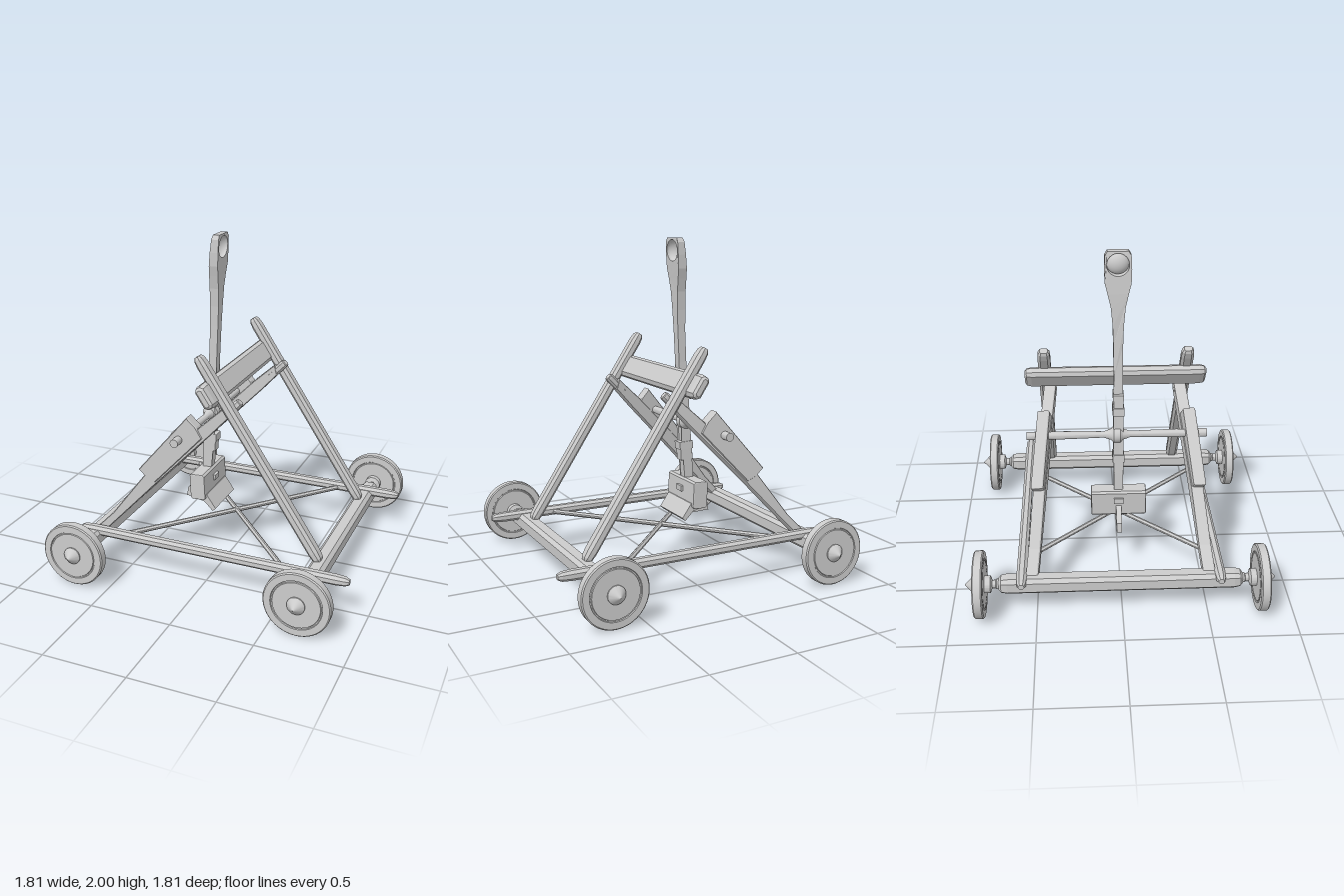
import * as THREE from 'three';
import { toCreasedNormals } from 'three/addons/utils/BufferGeometryUtils.js';

const mat = new THREE.MeshStandardMaterial({ color: 0xcccccc });
const V = (x, y, z) => new THREE.Vector3(x, y, z);

export function createModel() {
  const root = new THREE.Group();
  const frame = new THREE.Group();
  frame.name = 'frame';
  frame.position.z = -0.008;
  root.add(frame);

  const add = (parent, name, geometry, x = 0, y = 0, z = 0) => {
    const m = new THREE.Mesh(geometry, mat);
    m.name = name;
    m.position.set(x, y, z);
    parent.add(m);
    return m;
  };

  const polygon = (pts) => new THREE.Shape(pts.map(([x, y]) => new THREE.Vector2(x, y)));

  // Timber from a to b: chamfered section (w across, h deep) with tapered ends
  const beam = (parent, name, a, b, w, h, taper = 0.04, inset = 0.015, across = V(0, 0, 1)) => {
    const dir = b.clone().sub(a);
    const length = dir.length();
    dir.normalize();
    const c = 0.008, p = w / 2 - inset, q = h / 2 - inset;
    const section = polygon([[-p + c, -q], [p - c, -q], [p, -q + c], [p, q - c],
      [p - c, q], [-p + c, q], [-p, q - c], [-p, -q + c]]);
    const g = new THREE.ExtrudeGeometry(section, {
      depth: length - 2 * taper, bevelEnabled: true, bevelThickness: taper, bevelSize: inset, bevelSegments: 2,
    });
    g.translate(0, 0, taper);
    const up = dir.clone().cross(across).normalize();
    const side = up.clone().cross(dir);
    g.applyMatrix4(new THREE.Matrix4().makeBasis(side, up, dir).setPosition(a));
    return add(parent, name, g);
  };

  const lathe = (pts, segments = 40) =>
    toCreasedNormals(new THREE.LatheGeometry(pts.map(([r, y]) => new THREE.Vector2(r, y)), segments), 0.5);

  // Axle beams
  for (const x of [-0.71, 0.68]) {
    beam(frame, 'axleBeam', V(x, 0.2, -0.71), V(x, 0.2, 0.71), 0.1, 0.1, 0.05, 0.022, V(1, 0, 0));
  }

  // Wheels with grooved faces, conical caps and stepped hubs
  const wheelProfile = [
    [0, 0.69], [0.03, 0.69], [0.03, 0.72], [0.024, 0.725], [0.024, 0.745], [0.05, 0.755], [0.05, 0.79],
    [0.138, 0.79], [0.141, 0.796], [0.147, 0.796], [0.15, 0.79], [0.188, 0.79], [0.195, 0.797],
    [0.195, 0.84], [0.188, 0.847], [0.15, 0.847], [0.147, 0.841], [0.141, 0.841], [0.138, 0.847],
    [0.052, 0.847], [0.052, 0.854], [0, 0.905],
  ];
  const wheelGeometry = lathe(wheelProfile, 48);
  for (const x of [-0.71, 0.68]) {
    for (const s of [-1, 1]) {
      add(frame, 'wheel', wheelGeometry, x, 0.2, 0).rotation.x = s * Math.PI / 2;
    }
  }

  // Long side rails, leaning A-frame posts and struts
  for (const s of [-1, 1]) {
    beam(frame, 'sideRail', V(-0.8, 0.24, s * 0.575), V(0.9, 0.24, s * 0.575), 0.06, 0.058, 0.08, 0.014);
    beam(frame, 'post', V(0.675, 0.245, s * 0.425), V(-0.072, 1.385, s * 0.425), 0.075, 0.062, 0.06, 0.014);

    // Struts lean inward as they rise
    const leaning = (name, pts, depth, out) => {
      const g = new THREE.ExtrudeGeometry(polygon(pts), {
        depth: depth - 0.016, bevelEnabled: true, bevelThickness: 0.008, bevelSize: 0.005,
        bevelOffset: -0.005, bevelSegments: 1,
      });
      g.translate(0, 0, -depth / 2 + 0.008);
      const p = g.attributes.position;
      for (let i = 0; i < p.count; i++) {
        p.setZ(i, p.getZ(i) + s * (0.41 - 0.15 * p.getX(i) + out));
      }
      g.computeVertexNormals();
      add(frame, name, g);
    };
    leaning('strut', [[-0.72, 0.235], [-0.66, 0.225], [-0.56, 0.33], [-0.33, 0.575], [0.0, 0.915],
      [0.12, 1.045], [0.1, 1.11], [-0.05, 0.975], [-0.4, 0.625], [-0.6, 0.36]], 0.07, 0);
    leaning('strutPlank', [[-0.43, 0.665], [-0.385, 0.618], [-0.33, 0.59], [-0.04, 0.9],
      [-0.075, 0.965], [-0.13, 1.022]], 0.072, 0.006);
    beam(frame, 'strutPeg', V(0.06, 1.02, s * 0.39), V(0.168, 1.13, s * 0.382), 0.05, 0.05, 0.015, 0.008);

    // Thin diagonal floor braces
    beam(frame, 'floorBrace', V(-0.53, 0.235, s * 0.57), V(0.49, 0.235, -s * 0.55), 0.03, 0.03, 0.01, 0.004, V(0, 1, 0));
  }

  // Padded stop bar, slightly waisted, resting on the posts
  const tilt = V(-0.747, 1.14, 0).normalize();
  beam(frame, 'stopBar', V(0.01, 1.18, -0.545), V(0.01, 1.18, 0.545), 0.145, 0.07, 0.04, 0.02, tilt);

  // Pivot shaft with a swollen centre
  const half = [[0.025, 0.54], [0.025, 0.48], [0.019, 0.46], [0.025, 0.36], [0.022, 0.2], [0.019, 0.08], [0.034, 0.035], [0.05, 0.02]];
  const shaftProfile = [[0, -0.54], ...half.map(([r, y]) => [r, -y]), ...half.slice().reverse(), [0, 0.54]];
  add(frame, 'pivotShaft', lathe(shaftProfile, 20), -0.18, 0.88, 0).rotation.x = Math.PI / 2;

  // Throwing arm
  const arm = new THREE.Group();
  arm.name = 'throwingArm';
  root.add(arm);

  // Rows up the arm: height, half width, centre x, thickness
  const rows = [
    [0.3, 0.018, -0.212, 0.03], [0.42, 0.026, -0.206, 0.055], [0.55, 0.028, -0.198, 0.06], [0.75, 0.03, -0.18, 0.066],
    [1.0, 0.03, -0.166, 0.06], [1.25, 0.026, -0.153, 0.05], [1.45, 0.028, -0.143, 0.05], [1.57, 0.032, -0.139, 0.056],
    [1.68, 0.042, -0.134, 0.056], [1.76, 0.06, -0.129, 0.056], [1.82, 0.075, -0.124, 0.056], [1.9, 0.078, -0.118, 0.052],
    [1.975, 0.075, -0.112, 0.046], [2.0, 0.06, -0.11, 0.04],
  ];
  const at = (y, k) => {
    let i = 1;
    while (i < rows.length - 1 && rows[i][0] < y) i++;
    const t = THREE.MathUtils.clamp((y - rows[i - 1][0]) / (rows[i][0] - rows[i - 1][0]), 0, 1);
    return THREE.MathUtils.lerp(rows[i - 1][k], rows[i][k], t);
  };
  const slab = (name, geometry) => {
    // Geometry is given as (z, y, depth 0..1) and bent along the arm
    const p = geometry.attributes.position;
    for (let i = 0; i < p.count; i++) {
      const u = p.getX(i), y = p.getY(i), d = p.getZ(i);
      p.setXYZ(i, at(y, 2) + (d - 0.5) * at(y, 3), y, -u);
    }
    geometry.computeVertexNormals();
    return add(arm, name, geometry);
  };

  // Shank: one block per pair of rows, below the spoon
  const ring = rows.slice(0, 10);
  slab('armShank', new THREE.ExtrudeGeometry(
    polygon([...ring.map(([y, w]) => [w, y]), ...ring.slice().reverse().map(([y, w]) => [-w, y])]),
    { depth: 1, bevelEnabled: false, steps: 1 }));

  // Spoon head with a round hollow
  const head = rows.slice(9);
  const headShape = polygon([...head.map(([y, w]) => [w, y]), ...head.slice().reverse().map(([y, w]) => [-w, y])]);
  const hole = new THREE.Path();
  hole.absarc(0, 1.925, 0.064, 0, Math.PI * 2, true);
  headShape.holes.push(hole);
  slab('spoonHead', new THREE.ExtrudeGeometry(headShape, { depth: 1, bevelEnabled: false, curveSegments: 24 }));
  const bowl = add(arm, 'spoonBowl', new THREE.SphereGeometry(0.066, 24, 8, 0, Math.PI * 2, 0, Math.PI / 2), -0.094, 1.925, 0);
  bowl.material = mat.clone();
  bowl.material.side = THREE.DoubleSide;
  bowl.scale.y = 0.75;
  bowl.rotation.z = Math.PI / 2 - 0.07;

  // Bindings and collars on the arm
  const block = (name, w, h, d, x, y) => {
    const b = add(arm, name, new THREE.BoxGeometry(w, h, d), x, y, 0);
    b.rotation.z = -0.06;
    return b;
  };
  block('upperBinding', 0.098, 0.13, 0.056, -0.162, 1.08);
  block('upperCollar', 0.108, 0.05, 0.068, -0.166, 1.042);
  block('upperCollar', 0.102, 0.035, 0.064, -0.159, 1.13);
  block('lowerBinding', 0.08, 0.11, 0.056, -0.182, 0.69);
  block('lowerCollar', 0.09, 0.048, 0.07, -0.178, 0.728);

  // Counterweight: box, thin rear fin and flared front flap
  const extrudeZ = (name, pts, depth) => {
    const g = new THREE.ExtrudeGeometry(polygon(pts), { depth, bevelEnabled: false });
    g.translate(0, 0, -depth / 2);
    return add(arm, name, g);
  };
  beam(arm, 'counterweight', V(-0.206, 0.435, -0.168), V(-0.206, 0.435, 0.168), 0.1, 0.17, 0.008, 0.006, V(1, 0.04, 0));
  extrudeZ('rearFin', [[-0.35, 0.285], [-0.2, 0.28], [-0.2, 0.42], [-0.255, 0.42], [-0.34, 0.345]], 0.032);
  extrudeZ('frontFlap', [[-0.2, 0.345], [-0.165, 0.335], [-0.11, 0.28], [-0.09, 0.3], [-0.15, 0.385], [-0.2, 0.4]], 0.3);
  block('weightClasp', 0.125, 0.035, 0.06, -0.206, 0.455);

  return root;
}
